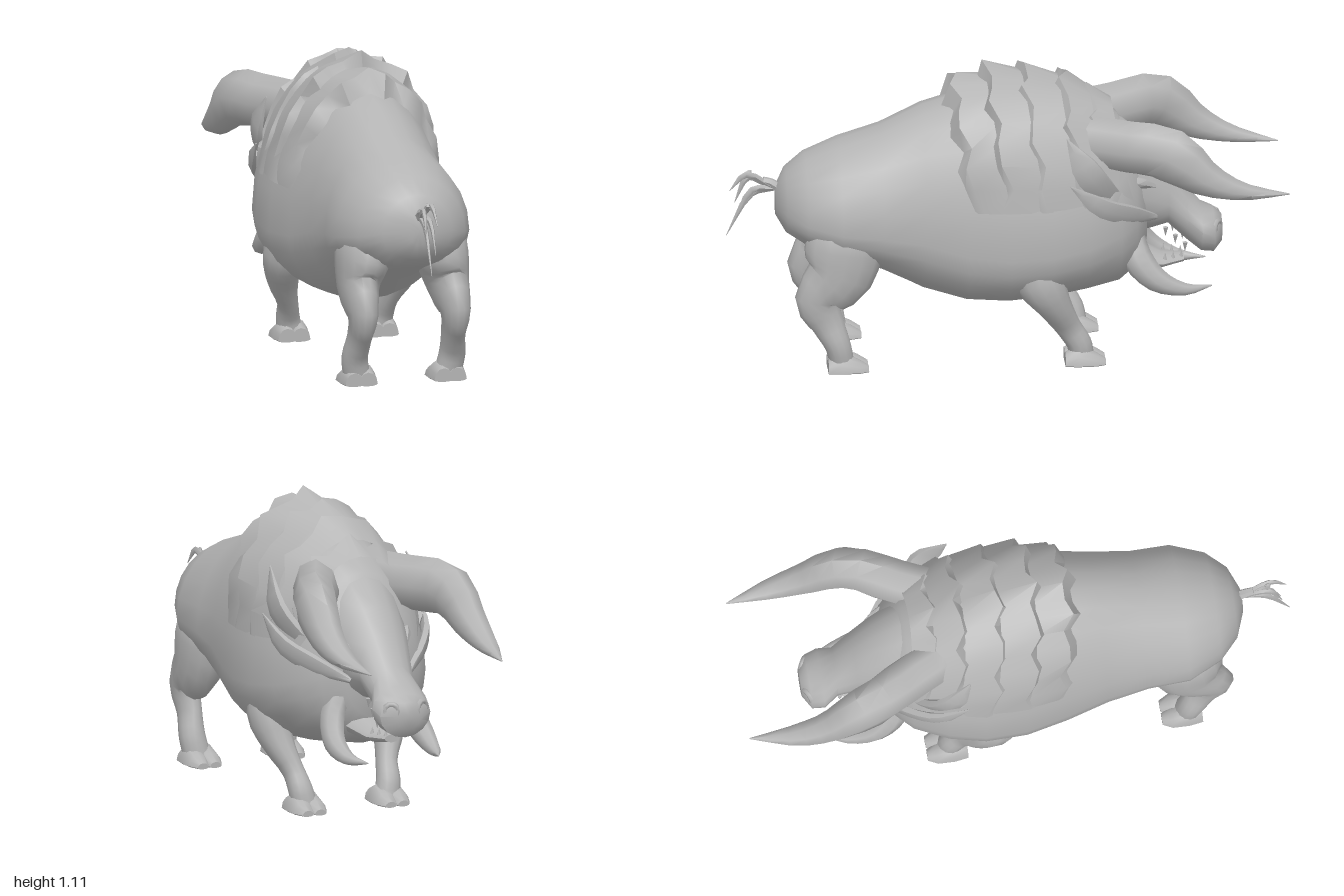
import * as THREE from 'three';
import { toCreasedNormals } from 'three/addons/utils/BufferGeometryUtils.js';

const hide = new THREE.MeshStandardMaterial({ color: 0xb4b4b4, side: THREE.DoubleSide });
hide.name = 'stone grey';

// Skin a list of point rings; closed rings get end caps.
function skin(rings, closed, crease) {
  const n = rings[0].length, pos = [], idx = [];
  rings.forEach(r => r.forEach(p => pos.push(p.x, p.y, p.z)));
  for (let i = 0; i < rings.length - 1; i++) {
    for (let j = 0; j < (closed ? n : n - 1); j++) {
      const k = (j + 1) % n, a = i * n + j, b = i * n + k;
      idx.push(a, b, a + n, b, b + n, a + n);
    }
  }
  if (closed) {
    [0, rings.length - 1].forEach((r, end) => {
      const c = new THREE.Vector3();
      rings[r].forEach(p => c.addScaledVector(p, 1 / n));
      const centre = pos.length / 3;
      pos.push(c.x, c.y, c.z);
      for (let j = 0; j < n; j++) {
        const a = r * n + j, b = r * n + (j + 1) % n;
        if (end) idx.push(centre, a, b); else idx.push(centre, b, a);
      }
    });
  }
  const g = new THREE.BufferGeometry();
  g.setAttribute('position', new THREE.Float32BufferAttribute(pos, 3));
  g.setIndex(idx);
  return toCreasedNormals(g, crease);
}

// Point on an egg-shaped section [z, bottom, widest height, top, half width].
function eggPoint([z, yb, yc, yt, w], a, x = 0) {
  const c = Math.cos(a);
  return new THREE.Vector3(x + w * Math.sin(a), yc + c * (c > 0 ? yt - yc : yc - yb), z);
}
function loft(sections, sides = 20, x = 0) {
  return skin(sections.map(s => Array.from({ length: sides },
    (_, j) => eggPoint(s, j / sides * Math.PI * 2, x))), true, 0.9);
}

// Tapered limb through points [x, y, z, radius across, radius along].
function limb(points, side = 1, steps = 12, sides = 10) {
  const path = new THREE.CatmullRomCurve3(points.map(p => new THREE.Vector3(p[0] * side, p[1], p[2])));
  const size = new THREE.CatmullRomCurve3(points.map(p => new THREE.Vector3(p[3], p[4] ?? p[3], 0)));
  const rings = [];
  for (let i = 0; i <= steps; i++) {
    const t = i / steps, c = path.getPoint(t), r = size.getPoint(t), T = path.getTangent(t);
    const N = new THREE.Vector3(1, 0, 0).addScaledVector(T, -T.x).normalize();
    const B = new THREE.Vector3().crossVectors(T, N);
    rings.push(Array.from({ length: sides }, (_, j) => {
      const a = j / sides * Math.PI * 2;
      return c.clone().addScaledVector(N, Math.cos(a) * r.x).addScaledVector(B, Math.sin(a) * r.y);
    }));
  }
  return skin(rings, true, 1.0);
}

const BODY = [
  [0.825, 0.54, 0.59, 0.65, 0.04], [0.79, 0.48, 0.58, 0.715, 0.13],
  [0.72, 0.44, 0.56, 0.77, 0.20], [0.60, 0.40, 0.54, 0.82, 0.25],
  [0.45, 0.34, 0.52, 0.87, 0.245], [0.30, 0.26, 0.50, 0.945, 0.26],
  [0.15, 0.215, 0.46, 0.99, 0.29], [0, 0.21, 0.45, 1.02, 0.32],
  [-0.15, 0.225, 0.46, 1.01, 0.325], [-0.28, 0.245, 0.48, 0.96, 0.30],
  [-0.40, 0.265, 0.51, 0.89, 0.25], [-0.46, 0.31, 0.53, 0.79, 0.195],
  [-0.50, 0.38, 0.54, 0.70, 0.12],
];
function bodyPoint(z, a, out) {
  let i = 0;
  while (i < BODY.length - 2 && BODY[i + 1][0] > z) i++;
  const t = (z - BODY[i][0]) / (BODY[i + 1][0] - BODY[i][0]);
  const p = eggPoint(BODY[i].map((v, k) => THREE.MathUtils.lerp(v, BODY[i + 1][k], t)), a);
  return p.add(new THREE.Vector3(Math.sin(a) * out, Math.cos(a) * out, 0));
}

// One overlapping mane layer: a ragged crest that fades out down the flanks.
function maneLayer(front, rear, lift, seed) {
  const n = 16, rows = [[], [], []];
  for (let j = 0; j <= n; j++) {
    const s = j / n * 2 - 1, a = s * 1.25, fall = 1 - s * s;
    const rag = Math.sin(j * 2.3 + seed), zr = rear - 0.015 + 0.02 * rag - 0.07 * s * s;
    const peak = j === n / 2 ? 1 : 0.74 + 0.2 * rag;
    rows[0].push(bodyPoint(zr + 0.03, a, -0.004));
    rows[1].push(bodyPoint(zr, a, lift * fall * peak + 0.002));
    rows[2].push(bodyPoint(front - 0.07 * s * s, a, 0.045 * fall - 0.004));
  }
  return skin(rows, false, 0.8);
}

export function createModel() {
  const model = new THREE.Group();
  model.name = 'horned beast';
  const add = (name, geometry) => {
    const m = new THREE.Mesh(geometry, hide);
    m.name = name;
    model.add(m);
    return m;
  };

  // Trunk and shaggy shoulders
  add('body', loft(BODY, 24));
  [[0.07, 0.20, 0.08], [-0.06, 0.08, 0.105], [-0.19, -0.05, 0.075], [-0.30, -0.19, 0.075], [-0.38, -0.29, 0.055]]
    .forEach(([f, r, h], i) => add('maneLayer' + (i + 1), maneLayer(f, r, h, i * 1.9)));

  // Head with open mouth
  add('head', loft([
    [-0.30, 0.50, 0.72, 0.93, 0.17], [-0.42, 0.46, 0.65, 0.87, 0.155], [-0.51, 0.45, 0.60, 0.79, 0.13],
    [-0.58, 0.47, 0.57, 0.70, 0.105], [-0.65, 0.40, 0.50, 0.60, 0.085], [-0.70, 0.36, 0.46, 0.535, 0.11],
    [-0.745, 0.355, 0.44, 0.515, 0.10], [-0.775, 0.39, 0.44, 0.49, 0.05],
  ], 16));
  add('lowerJaw', loft([
    [-0.36, 0.31, 0.38, 0.46, 0.12], [-0.46, 0.30, 0.35, 0.40, 0.10],
    [-0.56, 0.30, 0.325, 0.35, 0.065], [-0.64, 0.315, 0.33, 0.345, 0.03],
  ], 12));

  // Tail with a tuft of strands
  add('tail', limb([[0, 0.62, 0.79, 0.022], [0, 0.66, 0.84, 0.016], [0, 0.67, 0.87, 0.014]], 1, 6, 6));
  [[0, 0.70, 0.92, 0.71, 0.91], [0.012, 0.70, 0.93, 0.64, 0.99], [-0.014, 0.68, 0.92, 0.58, 0.97],
    [0.012, 0.64, 0.91, 0.53, 0.97], [-0.006, 0.62, 0.91, 0.46, 1.0]]
    .forEach(([x, my, mz, ty, tz]) => add('tailStrand', limb(
      [[0, 0.64, 0.83, 0.01], [x, my, mz, 0.009, 0.013], [x * 1.3, ty, tz, 0.001]], 1, 6, 5)));

  for (const s of [1, -1]) {
    const side = s > 0 ? 'left' : 'right';
    // Horns and tusks
    add(side + 'Horn', limb([
      [0.12, 0.835, -0.26, 0.08, 0.10], [0.19, 0.835, -0.41, 0.082, 0.10], [0.265, 0.83, -0.56, 0.077, 0.102],
      [0.285, 0.735, -0.70, 0.06, 0.066], [0.283, 0.685, -0.83, 0.042, 0.033], [0.26, 0.66, -1.0, 0.002],
    ], s, 12, 8));
    add(side + 'Tusk', limb([
      [0.10, 0.50, -0.43, 0.04, 0.05], [0.15, 0.39, -0.46, 0.045, 0.055], [0.175, 0.31, -0.53, 0.04, 0.045],
      [0.17, 0.27, -0.63, 0.025, 0.024], [0.14, 0.27, -0.73, 0.002],
    ], s, 12, 8));

    // Drooping ears and cheek tufts
    add(side + 'Ear', limb([
      [0.14, 0.58, -0.43, 0.02, 0.015], [0.24, 0.68, -0.34, 0.022, 0.05],
      [0.285, 0.77, -0.275, 0.02, 0.058], [0.27, 0.90, -0.20, 0.002],
    ], s, 8, 6));
    add(side + 'CheekTuft', limb([
      [0.11, 0.53, -0.53, 0.012, 0.01], [0.22, 0.585, -0.42, 0.02, 0.04],
      [0.285, 0.64, -0.32, 0.018, 0.04], [0.305, 0.73, -0.21, 0.002],
    ], s, 8, 6));

    // Eyes, brows, nostrils and teeth
    const eye = add(side + 'Eye', new THREE.SphereGeometry(0.02, 10, 8));
    eye.position.set(0.142 * s, 0.635, -0.45);
    add(side + 'Brow', limb([[0.145, 0.68, -0.39, 0.015], [0.136, 0.675, -0.46, 0.022], [0.10, 0.64, -0.54, 0.008]], s, 6, 6));
    const nostril = add(side + 'Nostril', new THREE.TorusGeometry(0.024, 0.011, 6, 10));
    nostril.position.set(0.06 * s, 0.46, -0.755);
    nostril.rotation.y = 0.5 * -s;
    for (let i = 0; i < 3; i++) {
      const upper = add('upperTooth', new THREE.ConeGeometry(0.01, 0.035, 5));
      upper.position.set(0.06 * s, 0.45 - i * 0.03, -0.57 - i * 0.035);
      upper.rotation.x = Math.PI;
      const lower = add('lowerTooth', new THREE.ConeGeometry(0.009, 0.03, 5));
      lower.position.set((0.045 - i * 0.012) * s, 0.35, -0.57 - i * 0.03);
    }

    // Legs
    add(side + 'HindLeg', limb([
      [0.10, 0.62, 0.54, 0.05, 0.06], [0.14, 0.48, 0.585, 0.10, 0.145], [0.165, 0.365, 0.61, 0.075, 0.125],
      [0.172, 0.27, 0.685, 0.053, 0.085], [0.175, 0.18, 0.65, 0.042, 0.06],
      [0.182, 0.10, 0.615, 0.048, 0.047], [0.17, 0.03, 0.60, 0.05, 0.045],
    ], s, 18, 14));
    add(side + 'ForeLeg', limb([
      [0.19, 0.47, -0.06, 0.07, 0.08], [0.235, 0.345, -0.105, 0.072, 0.088], [0.22, 0.24, -0.16, 0.057, 0.062],
      [0.185, 0.14, -0.215, 0.038, 0.046], [0.175, 0.08, -0.25, 0.044, 0.045], [0.165, 0.03, -0.26, 0.047, 0.045],
    ], s, 15, 12));

    // Cloven hooves, toes nearly joined
    for (const [name, z, x] of [['HindHoof', 0.60, 0.166], ['ForeHoof', -0.25, 0.165]]) {
      for (const toe of [-0.025, 0.025]) {
        add(side + name, loft([
          [z + 0.05, 0, 0.008, 0.05, 0.035], [z, 0, 0.008, 0.075, 0.042],
          [z - 0.06, 0, 0.008, 0.045, 0.04], [z - 0.095, 0, 0.006, 0.022, 0.022],
        ], 12, (x + toe) * s));
      }
    }
  }
  return model;
}
